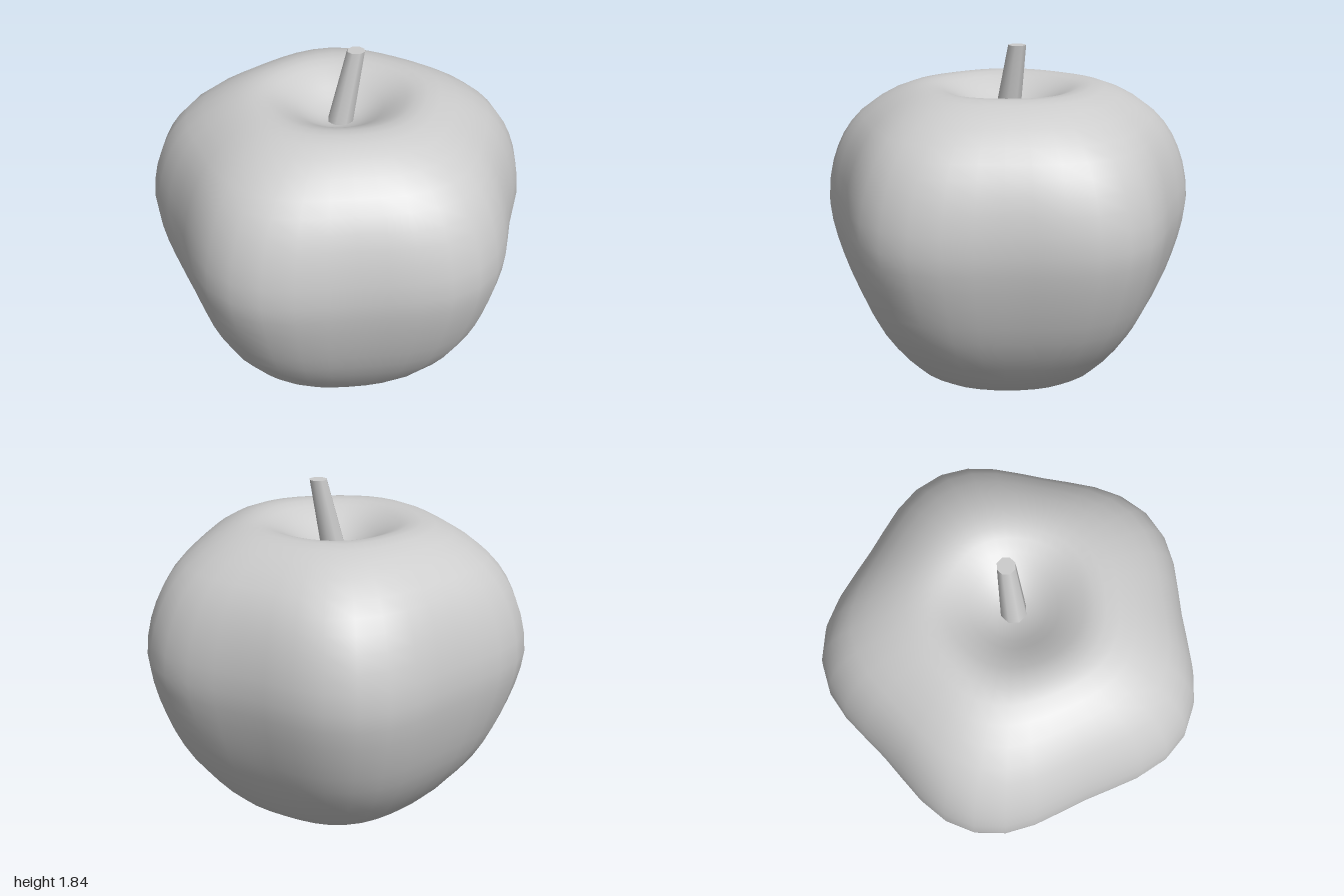
import * as THREE from 'three';
import { mergeVertices } from 'three/addons/utils/BufferGeometryUtils.js';

const CENTRE_X = -0.047;
const grey = new THREE.MeshStandardMaterial({ color: 0xcccccc });
grey.name = 'plain grey';

// Lathed fruit with five lobes that fade towards the top and bottom hollows
function makeBody() {
  const profile = [
    [0, 0.11], [0.1, 0.085], [0.2, 0.03], [0.28, 0.003], [0.34, 0.012], [0.439, 0.05],
    [0.563, 0.125], [0.672, 0.24], [0.775, 0.38], [0.85, 0.525], [0.905, 0.675],
    [0.945, 0.82], [0.967, 0.966], [0.95, 1.12], [0.912, 1.25], [0.858, 1.36],
    [0.778, 1.46], [0.65, 1.555], [0.52, 1.612], [0.42, 1.624], [0.34, 1.605],
    [0.25, 1.56], [0.17, 1.51], [0.08, 1.47], [0, 1.46],
  ].map(([r, y]) => new THREE.Vector2(r, y));
  const points = new THREE.SplineCurve(profile).getPoints(36);
  points.forEach((p) => { p.x = Math.max(0, p.x); });

  let geometry = new THREE.LatheGeometry(points, 40);
  const pos = geometry.attributes.position;
  for (let i = 0; i < pos.count; i++) {
    const x = pos.getX(i), z = pos.getZ(i);
    const fade = Math.pow(Math.hypot(x, z) / 0.967, 1.5);
    const k = 1 + 0.058 * fade * Math.cos(5 * Math.atan2(z, x));
    pos.setX(i, x * k);
    pos.setZ(i, z * k);
  }
  // Weld the seam so the shading is smooth all round
  geometry.deleteAttribute('normal');
  geometry.deleteAttribute('uv');
  geometry = mergeVertices(geometry, 1e-4);
  geometry.computeVertexNormals();
  return geometry;
}

// Tapered stalk, sheared towards +x so its end stays level
function makeStem() {
  const bottom = 1.45, top = 1.84;
  const geometry = new THREE.CylinderGeometry(0.047, 0.069, top - bottom, 8);
  geometry.translate(0, (top - bottom) / 2, 0);
  geometry.applyMatrix4(new THREE.Matrix4().makeShear(0, 0, 0.23, 0, 0, 0));
  geometry.translate(0, bottom, 0);
  return geometry;
}

export function createModel() {
  const group = new THREE.Group();
  group.name = 'apple';
  const parts = { body: makeBody(), stem: makeStem() };
  for (const [name, geometry] of Object.entries(parts)) {
    const mesh = new THREE.Mesh(geometry, grey);
    mesh.name = name;
    mesh.position.x = CENTRE_X;
    group.add(mesh);
  }
  return group;
}
